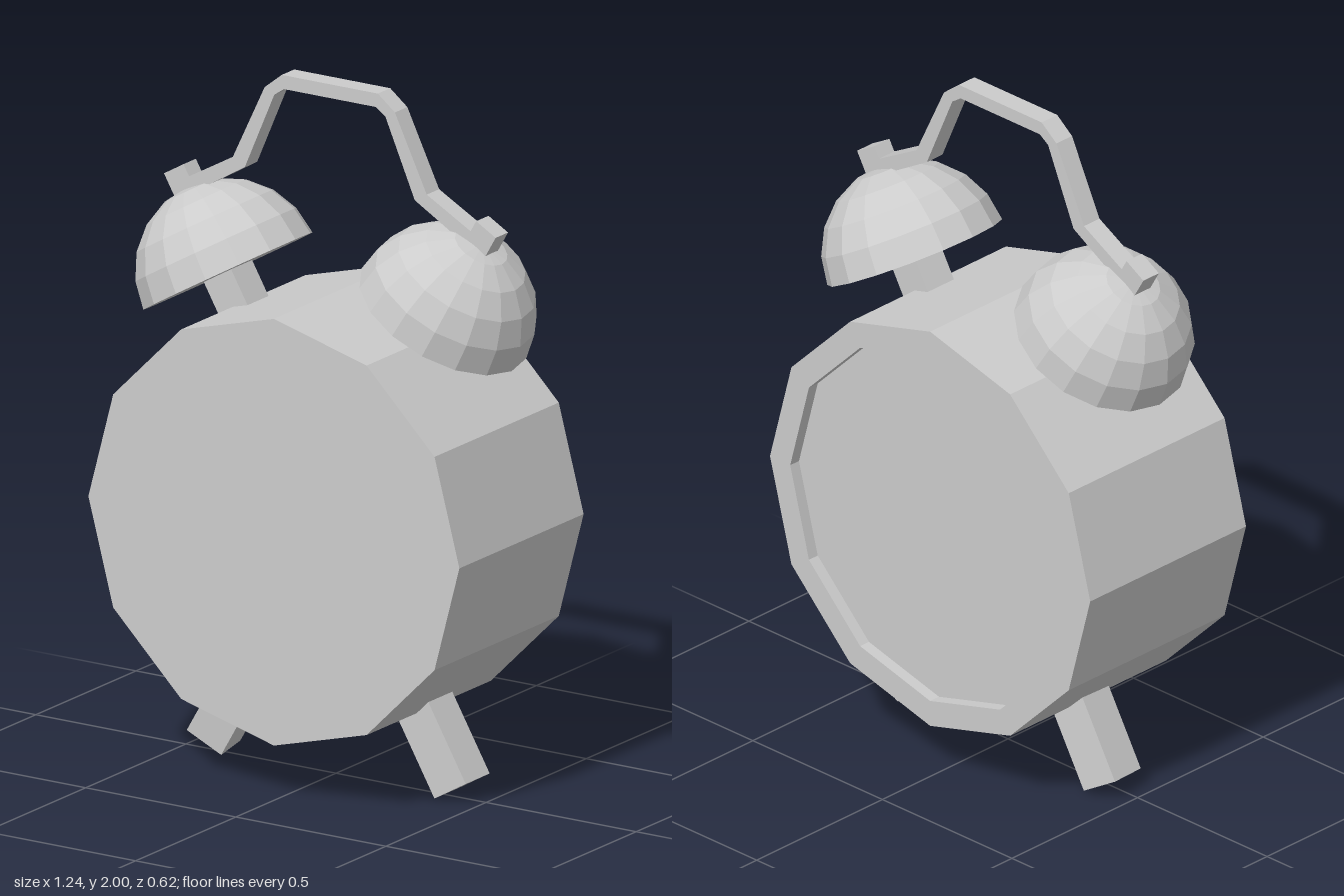
import * as THREE from 'three';

const material = new THREE.MeshStandardMaterial({ color: 0xcccccc, flatShading: true });
const TILT = Math.PI / 6;

function part(name, geometry, parent) {
  const mesh = new THREE.Mesh(geometry, material);
  mesh.name = name;
  parent.add(mesh);
  return mesh;
}

const points = (list) => list.map(([x, y]) => new THREE.Vector2(x, y));

export function createModel() {
  const clock = new THREE.Group();
  clock.name = 'alarmClock';

  // Twelve-sided drum with a flat front and a shallow recess in the back
  const drum = new THREE.LatheGeometry(points([
    [0, -0.275], [0.54, -0.275], [0.54, -0.31], [0.618, -0.31], [0.618, 0.31], [0, 0.31],
  ]), 12);
  part('body', drum.rotateX(Math.PI / 2), clock).position.y = 0.773;

  // Faceted half-sphere profile, closed underneath
  const dome = [[0, 0]];
  for (let i = 0; i <= 5; i++) {
    const a = (i / 5) * Math.PI / 2;
    dome.push([i === 5 ? 0 : 0.26 * Math.cos(a), 0.26 * Math.sin(a)]);
  }

  for (const [side, label] of [[1, 'left'], [-1, 'right']]) {
    // Bell, its stem and the pin on top share one tilted axis
    const bell = new THREE.Group();
    bell.name = label + 'BellAssembly';
    bell.position.set(side * 0.36, 1.39, 0);
    bell.rotation.z = -side * TILT;
    clock.add(bell);
    part(label + 'Bell', new THREE.LatheGeometry(points(dome), 16), bell);
    part(label + 'Stem', new THREE.BoxGeometry(0.105, 0.25, 0.105), bell).position.y = -0.1;
    part(label + 'Pin', new THREE.BoxGeometry(0.075, 0.12, 0.062), bell).position.y = 0.26;

    // Splayed leg; the right one sits slightly twisted
    const leg = new THREE.Group();
    leg.name = label + 'LegMount';
    leg.position.set(side * 0.34, 0.169, side < 0 ? -0.018 : 0);
    leg.rotation.z = side * TILT;
    clock.add(leg);
    const post = part(label + 'Leg', new THREE.BoxGeometry(0.12, 0.32, 0.12), leg);
    if (side < 0) post.rotation.y = 0.15;
  }

  // Bent strap handle: right half of outer and inner edges, mirrored
  const outer = [[0.16, 2], [0.217, 1.955], [0.323, 1.735], [0.49, 1.642]];
  const inner = [[0.49, 1.59], [0.283, 1.712], [0.185, 1.938], [0.153, 1.96]];
  const mirror = (list) => list.map(([x, y]) => [-x, y]).reverse();
  const strap = new THREE.Shape(points([...outer, ...inner, ...mirror(inner), ...mirror(outer)]));
  const handle = new THREE.ExtrudeGeometry(strap, { depth: 0.062, bevelEnabled: false });
  part('handle', handle.translate(0, 0, -0.031), clock);

  return clock;
}
